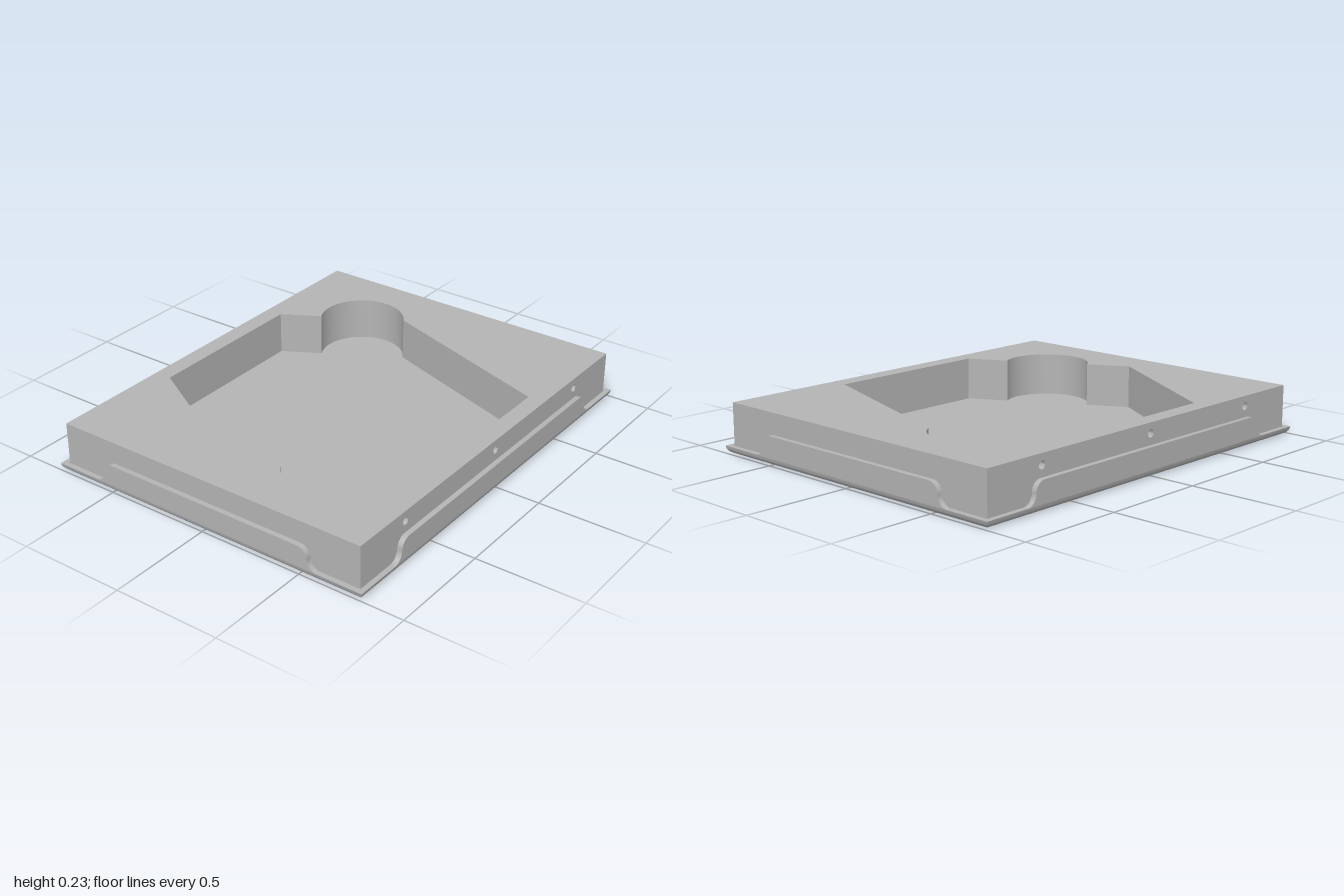
import * as THREE from 'three';
import { toCreasedNormals } from 'three/addons/utils/BufferGeometryUtils.js';

const HX = 1, HZ = 0.805;             // tray half sizes
const BX = 0.972, BZ = 0.778;         // block half sizes
const T = 0.024;                      // sheet thickness
const FLOOR = 0.028, TOP = 0.23;      // block bottom and top
const RIM = 0.035, TAB = 0.133;       // low rim and tab heights
const SKIN = 0.03;                    // depth of the drilled holes

function rectangle(x0, y0, x1, y1) {
  return new THREE.Shape([[x0, y0], [x1, y0], [x1, y1], [x0, y1]].map(p => new THREE.Vector2(...p)));
}

function extrude(shape, depth) {
  const g = new THREE.ExtrudeGeometry(shape, { depth, bevelEnabled: false, curveSegments: 24 });
  return toCreasedNormals(g, 0.6);
}

// Hexagonal pocket with a round finger notch on two opposite sides
function pocketPath() {
  const p = new THREE.Path();
  p.moveTo(0.805, 0);
  p.absarc(0.6, 0.35, 0.2, -Math.PI / 3, Math.PI * 2 / 3, false);
  p.lineTo(0.402, 0.697);
  p.lineTo(-0.402, 0.697);
  p.lineTo(-0.805, 0);
  p.absarc(-0.6, -0.35, 0.2, Math.PI * 2 / 3, Math.PI * 5 / 3, false);
  p.lineTo(-0.402, -0.697);
  p.lineTo(0.402, -0.697);
  p.closePath();
  return p;
}

// Raised wall tab whose ends sweep up in an S-curve
function tabShape(mid) {
  const r = (TAB - RIM) / 2, y = RIM + r, s = new THREE.Shape();
  s.moveTo(-mid - r, RIM);
  s.lineTo(mid + r, RIM);
  s.absarc(mid + r, y, r, -Math.PI / 2, -Math.PI, true);
  s.absarc(mid - r, y, r, 0, Math.PI / 2, false);
  s.absarc(-mid + r, y, r, Math.PI / 2, Math.PI, false);
  s.absarc(-mid - r, y, r, 0, -Math.PI / 2, true);
  return s;
}

// Bent edge of the tray: rectangular rings following a rounded, mitred profile
function bentEdge() {
  const profile = [], n = 8;
  for (let i = 0; i <= n; i++) {
    const a = (i / n) * Math.PI / 2;
    profile.push([RIM * (1 - Math.sin(a)), RIM * (1 - Math.cos(a))]);
  }
  profile.push([T, RIM], [T, T]);
  const corner = ([inset, y], k) => {
    const [sx, sz] = [[1, 1], [1, -1], [-1, -1], [-1, 1]][k % 4];
    return [sx * (HX - inset), y, sz * (HZ - inset)];
  };
  const pos = [];
  for (let i = 0; i < profile.length - 1; i++) {
    for (let k = 0; k < 4; k++) {
      const a = corner(profile[i], k), b = corner(profile[i], k + 1);
      const c = corner(profile[i + 1], k + 1), d = corner(profile[i + 1], k);
      pos.push(...a, ...b, ...c, ...a, ...c, ...d);
    }
  }
  const g = new THREE.BufferGeometry();
  g.setAttribute('position', new THREE.Float32BufferAttribute(pos, 3));
  return toCreasedNormals(g, 0.5);
}

export function createModel() {
  const model = new THREE.Group();
  model.name = 'pocketedBlockInTray';
  const grey = new THREE.MeshStandardMaterial({ color: 0xb4b4b4 });
  grey.name = 'grey';
  const add = (name, geometry, parent = model) => {
    const m = new THREE.Mesh(geometry, grey);
    m.name = name;
    parent.add(m);
    return m;
  };

  // Tray: flat plate and bent edge
  const plate = add('trayPlate', new THREE.BoxGeometry(2 * (HX - RIM), FLOOR, 2 * (HZ - RIM)));
  plate.position.y = FLOOR / 2;
  add('trayBentEdge', bentEdge());

  // Tray: one tab on each side
  const sides = [['front', 0.73, HZ], ['left', 0.54, HX], ['back', 0.73, HZ], ['right', 0.54, HX]];
  sides.forEach(([side, mid, reach], i) => {
    const pivot = new THREE.Group();
    pivot.name = side + 'TabGroup';
    pivot.rotation.y = i * Math.PI / 2;
    model.add(pivot);
    add(side + 'Tab', extrude(tabShape(mid), T), pivot).position.z = reach - T;
  });

  // Block core with the pocket cut through to the tray
  const core = rectangle(-BX, -(BZ - SKIN), BX, BZ - SKIN);
  core.holes.push(pocketPath());
  const block = add('block', extrude(core, TOP - FLOOR));
  block.rotation.x = -Math.PI / 2;
  block.position.y = FLOOR;

  // Front and back faces of the block, each with three drilled holes
  const face = rectangle(-BX, FLOOR, BX, TOP);
  for (const x of [-0.67, 0, 0.67]) {
    face.holes.push(new THREE.Path().absarc(x, 0.182, 0.018, 0, Math.PI * 2, true));
  }
  const faceGeometry = extrude(face, SKIN);
  add('blockFrontFace', faceGeometry).position.z = BZ - SKIN;
  const back = add('blockBackFace', faceGeometry);
  back.rotation.y = Math.PI;
  back.position.z = -(BZ - SKIN);

  return model;
}
